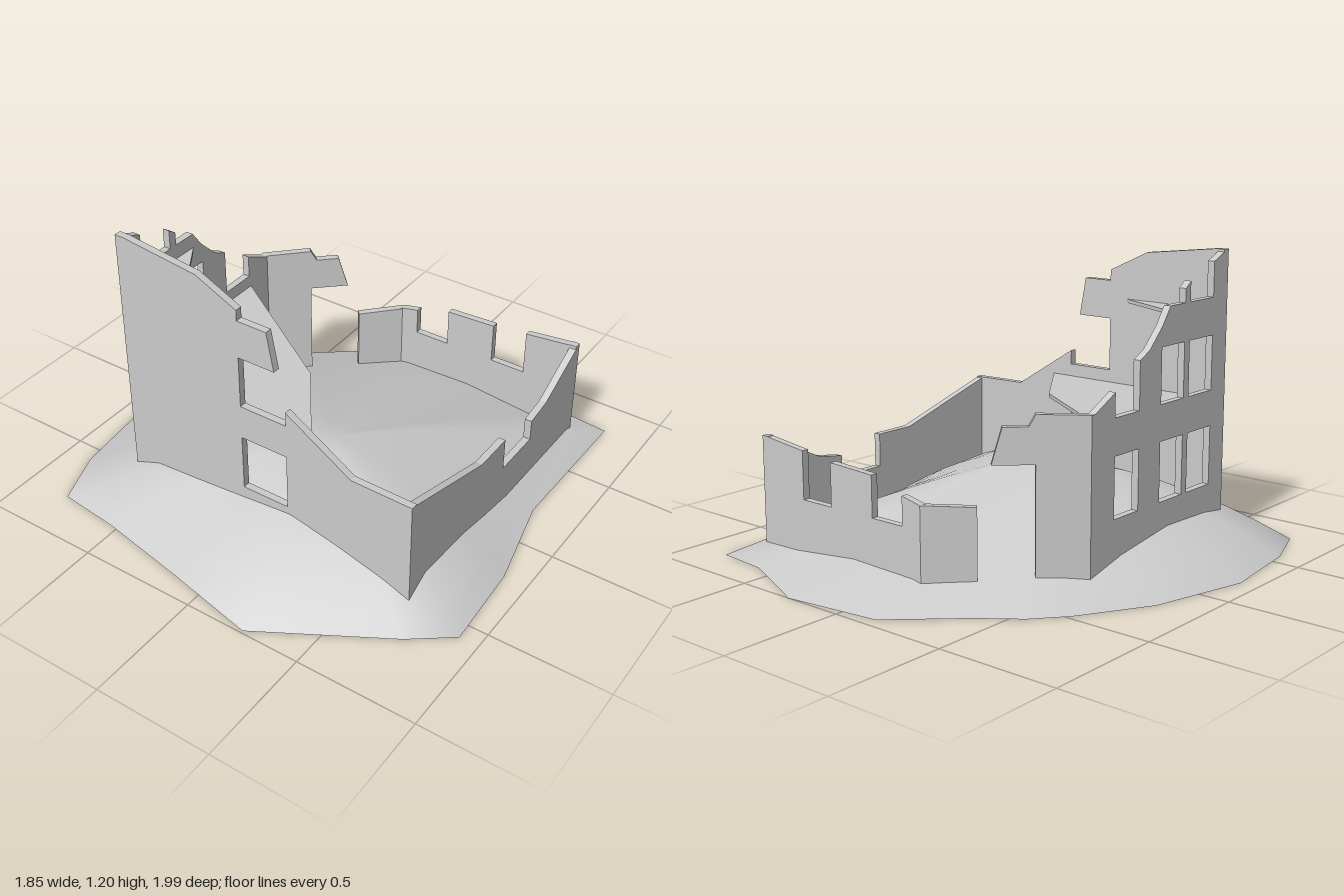
import * as THREE from 'three';

const T = 0.03;     // wall thickness
const BASE = 0.03;  // foot of the walls, below the earth
const material = new THREE.MeshStandardMaterial({ color: 0xcccccc, side: THREE.DoubleSide });

function addMesh(parent, geometry, name) {
  const mesh = new THREE.Mesh(geometry, material);
  mesh.name = name;
  parent.add(mesh);
  return mesh;
}

const toShape = (points) => new THREE.Shape(points.map(([x, y]) => new THREE.Vector2(x, y)));

const windowHole = ([u0, u1, v0, v1]) =>
  new THREE.Path([[u0, v0], [u0, v1], [u1, v1], [u1, v0]].map(([x, y]) => new THREE.Vector2(x, y)));

// Wall drawn as (distance along, height), stood on the line through (x, z) in direction (dx, dz)
function addWall(parent, name, [x, z], [dx, dz], outline, windows = []) {
  const shape = toShape(outline);
  shape.holes = windows.map(windowHole);
  const geometry = new THREE.ExtrudeGeometry(shape, { depth: T, bevelEnabled: false });
  const frame = new THREE.Matrix4().makeBasis(
    new THREE.Vector3(dx, 0, dz), new THREE.Vector3(0, 1, 0), new THREE.Vector3(-dz, 0, dx));
  geometry.applyMatrix4(frame.setPosition(x, 0, z));
  return addMesh(parent, geometry, name);
}

// Broken floor slab outlined as (x, z)
function addFloor(parent, name, y, points) {
  const geometry = new THREE.ExtrudeGeometry(toShape(points.map(([x, z]) => [x, -z])),
    { depth: 0.015, bevelEnabled: false });
  geometry.rotateX(-Math.PI / 2).translate(0, y, 0);
  addMesh(parent, geometry, name);
}

// Smooth mound: rings shrinking from an uneven rim to the summit
function moundGeometry() {
  const rim = [[0.25, -1], [0.595, -0.85], [0.82, -0.83], [0.81, -0.2], [0.9, 0.2], [0.92, 0.57],
    [0.755, 0.695], [0.25, 0.99], [-0.145, 0.905], [-0.53, 0.83], [-0.795, 0.8], [-0.88, 0.57],
    [-0.925, 0.2], [-0.82, -0.2], [-0.655, -0.48], [-0.55, -0.605], [-0.4, -0.72], [-0.15, -0.95]];
  const cx = 0.1, cz = 0.2, top = 0.32, rings = 8, n = rim.length;
  const positions = [cx, top, cz], index = [];
  for (let r = 1; r <= rings; r++) {
    const t = r / rings;
    rim.forEach(([x, z], i) => {
      const dx = x - cx, dz = z - cz, length = Math.hypot(dx, dz);
      const power = 1.4 + 0.35 * (dz + Math.abs(dx)) / length; // flatter to the rear
      positions.push(cx + dx * t, top * (1 - t ** power), cz + dz * t);
      const j = (i + 1) % n, a = 1 + (r - 1) * n, b = a - n;
      if (r === 1) index.push(0, a + j, a + i);
      else index.push(b + i, a + j, a + i, b + i, b + j, a + j);
    });
  }
  const geometry = new THREE.BufferGeometry();
  geometry.setAttribute('position', new THREE.Float32BufferAttribute(positions, 3));
  geometry.setIndex(index);
  geometry.computeVertexNormals();
  return geometry;
}

export function createModel() {
  const group = new THREE.Group();
  group.name = 'ruinedHouse';

  addMesh(group, moundGeometry(), 'ground');

  // Front wall with a broken upper window
  addWall(group, 'frontWall', [0, 0.585 - T], [1, 0], [
    [-0.59, BASE], [0.71, BASE], [0.71, 0.525], [0.45, 0.53], [0.165, 0.71], [0.165, 0.65],
    [-0.04, 0.65], [-0.04, 0.87], [0.12, 0.87], [0.09, 1.03], [-0.04, 1.03], [-0.04, 1.075],
    [-0.22, 1.16], [-0.55, 1.2], [-0.59, 1.2],
  ], [[-0.04, 0.165, 0.265, 0.505]]);

  // Tall side wall with rows of windows
  const bays = [[0.325, 0.485], [0.14, 0.29]];
  const rows = [[0.265, 0.505], [0.65, 0.87]];
  const windows = bays.flatMap((bay) => rows.map((row) => [...bay, ...row]));
  windows.push([-0.15, 0, ...rows[0]]);
  addWall(group, 'rightWall', [-0.59 + T, 0], [0, 1], [
    [-0.29, BASE], [0.585 - T, BASE], [0.585 - T, 1.19], [0.485, 1.16], [0.485, 1.02],
    [0.325, 1.02], [0.325, 1.1], [0.29, 1.075], [0.29, 1.02], [0.19, 1.02], [0.14, 0.95],
    [0.06, 0.87], [0, 0.84], [0, 0.65], [-0.15, 0.65], [-0.15, 0.745], [-0.27, 0.685], [-0.29, 0.685],
  ], windows);

  // Low side wall with a gap
  addWall(group, 'leftWall', [0.71, 0], [0, 1], [
    [-0.71, BASE], [0.585 - T, BASE], [0.585 - T, 0.52], [0.08, 0.38], [-0.1, 0.38], [-0.1, 0.24],
    [-0.32, 0.24], [-0.32, 0.33], [-0.44, 0.35], [-0.68, 0.47], [-0.68, 0.485], [-0.71, 0.485],
  ]);

  // Back wall with two windows broken open at the top
  addWall(group, 'backWall', [0, -0.71], [1, 0], [
    [-0.14, BASE], [0.71 - T, BASE], [0.71 - T, 0.483], [0.48, 0.46], [0.48, 0.265], [0.325, 0.265],
    [0.325, 0.44], [0.105, 0.43], [0.105, 0.265], [-0.05, 0.265], [-0.05, 0.38], [-0.14, 0.36],
  ]);

  // Slanting corner wall, split by the doorway
  const start = [-0.59, -0.29], run = Math.hypot(0.45, 0.42), slant = [0.45 / run, -0.42 / run];
  addWall(group, 'cornerWallWithLintel', start, slant, [
    [0, BASE], [0.2, BASE], [0.2, 0.505], [0.36, 0.505], [0.32, 0.645], [0.225, 0.645], [0.2, 0.69], [0, 0.685],
  ]);
  addWall(group, 'cornerWallStub', start, slant, [
    [0.41, BASE], [run, BASE], [run, 0.36], [0.41, 0.35],
  ]);

  // Remains of the two upper floors
  addFloor(group, 'lowerFloor', 0.583, [[-0.56, 0.556], [-0.56, -0.16], [0.01, 0.21], [0.26, 0.556]]);
  addFloor(group, 'upperFloor', 0.945, [[-0.56, 0.556], [-0.56, 0.19], [-0.41, 0.42], [-0.12, 0.556]]);

  return group;
}
